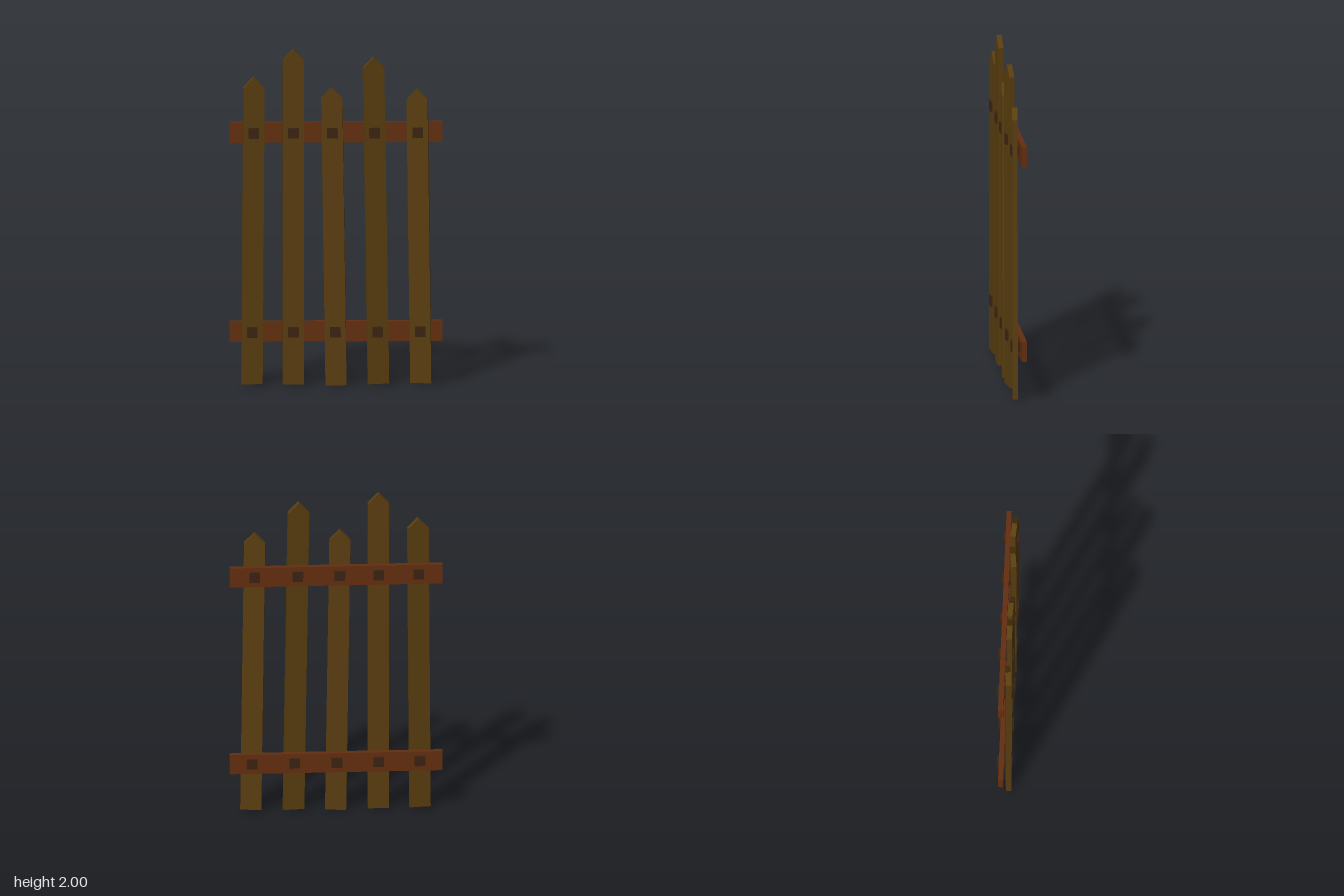
import * as THREE from 'three';

const plankMat = new THREE.MeshStandardMaterial({ color: 0x5a3e10 });
const railMat = new THREE.MeshStandardMaterial({ color: 0x642f10 });
const boltMat = new THREE.MeshStandardMaterial({ color: 0x3c2412 });

const WIDTH = 0.124, THICK = 0.031, POINT = 0.064;

// base x, base y, tip x, tip y, yaw
const PLANKS = [
  [-0.493, 0.01, -0.481, 1.837, 0.1],
  [-0.25, 0.007, -0.25, 2.0, 0.02],
  [0.0, 0.002, -0.026, 1.773, -0.08],
  [0.247, 0.009, 0.217, 1.952, 0.13],
  [0.496, 0.012, 0.473, 1.763, -0.12],
];

const RAILS = [1.5, 0.316];

function box(name, material, w, h, d, x, y, z) {
  const mesh = new THREE.Mesh(new THREE.BoxGeometry(w, h, d), material);
  mesh.name = name;
  mesh.position.set(x, y, z);
  return mesh;
}

// Pointed board standing on its base centre
function plank([x0, y0, x1, y1, yaw]) {
  const h = Math.hypot(x1 - x0, y1 - y0), w = WIDTH / 2;
  const shape = new THREE.Shape([
    new THREE.Vector2(-w, 0),
    new THREE.Vector2(w, 0),
    new THREE.Vector2(w, h - POINT),
    new THREE.Vector2(0, h),
    new THREE.Vector2(-w, h - POINT),
  ]);
  const geometry = new THREE.ExtrudeGeometry(shape, { depth: THICK, bevelEnabled: false });
  geometry.translate(0, 0, -THICK / 2);
  geometry.rotateY(yaw);
  const mesh = new THREE.Mesh(geometry, plankMat);
  mesh.name = 'plank';
  mesh.position.set(x0, y0, 0.02);
  mesh.rotation.z = Math.atan2(x0 - x1, y1 - y0);
  return mesh;
}

export function createModel() {
  const fence = new THREE.Group();
  fence.name = 'fence';

  // Cross rails behind the planks
  for (const y of RAILS) {
    fence.add(box('rail', railMat, 1.245, 0.121, 0.03, 0, y, -0.018));
  }

  // Planks, each with a square bolt through every rail
  for (const p of PLANKS) {
    fence.add(plank(p));
    const [x0, y0, x1, y1] = p;
    for (const y of RAILS) {
      const x = x0 + (x1 - x0) * (y - y0) / (y1 - y0);
      const bolt = box('bolt', boltMat, 0.062, 0.062, 0.09, x, y + 0.003, 0);
      bolt.rotation.z = Math.atan2(x0 - x1, y1 - y0);
      fence.add(bolt);
    }
  }
  return fence;
}
